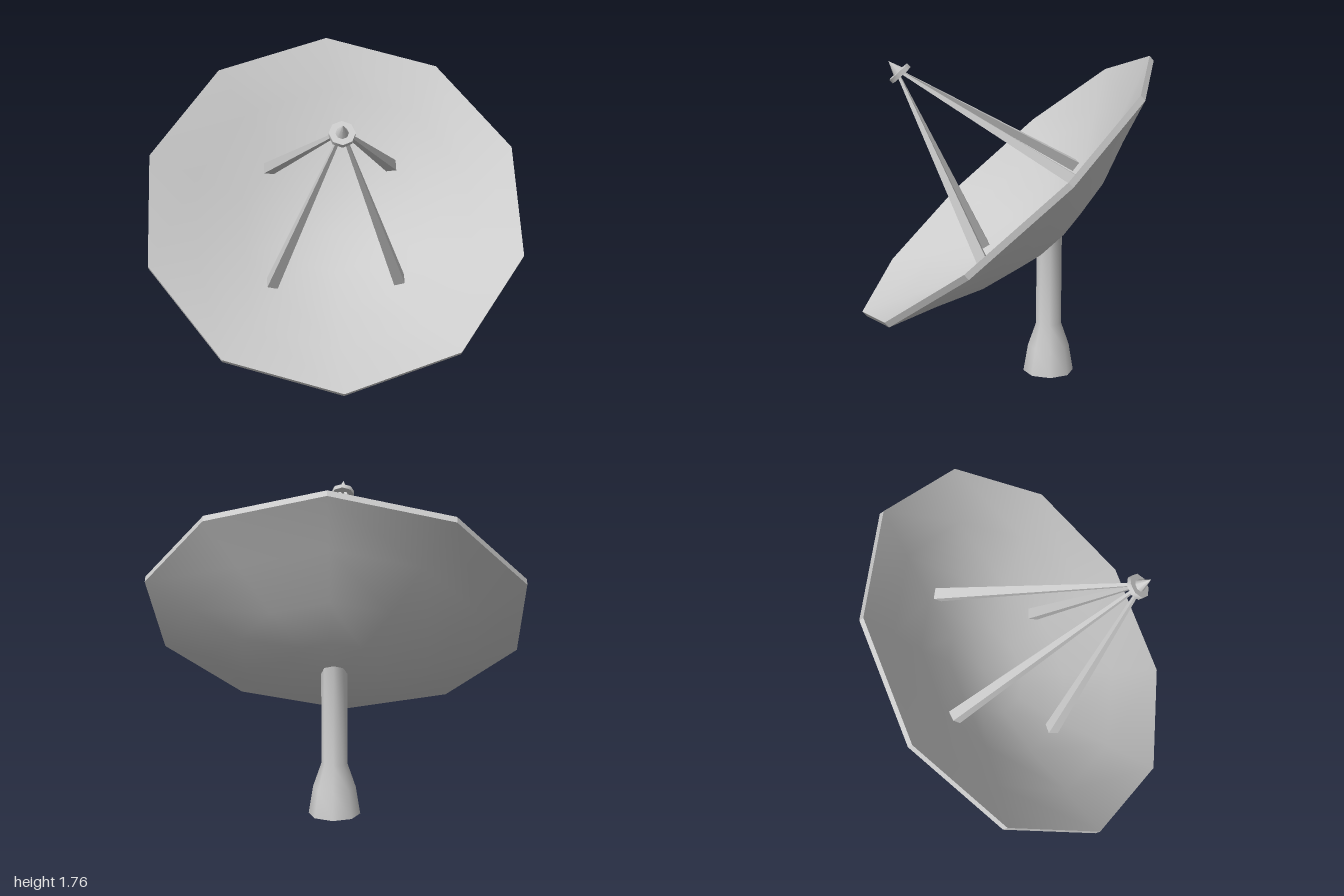
import * as THREE from 'three';
import { toCreasedNormals } from 'three/addons/utils/BufferGeometryUtils.js';

const material = new THREE.MeshStandardMaterial({ color: 0xcccccc });

function part(name, geometry, crease) {
  const mesh = new THREE.Mesh(toCreasedNormals(geometry, crease), material);
  mesh.name = name;
  return mesh;
}

const lathe = (points, sides) =>
  new THREE.LatheGeometry(points.map(([r, y]) => new THREE.Vector2(r, y)), sides);

export function createModel() {
  const model = new THREE.Group();
  model.name = 'dishAntenna';

  // Flared post, its top cut at the slope of the dish back
  const postZ = -0.24;
  const postGeometry = lathe(
    [[0, 0], [0.14, 0], [0.115, 0.15], [0.07, 0.28], [0.07, 0.775], [0, 0.775]], 8);
  const pos = postGeometry.attributes.position;
  for (let i = 0; i < pos.count; i++) {
    if (pos.getY(i) > 0.5) pos.setY(i, 0.775 - 0.7 * pos.getZ(i));
  }
  const post = part('post', postGeometry, 0.9);
  post.position.z = postZ;
  model.add(post);

  // Tilted reflector assembly, its own axis along local y
  const head = new THREE.Group();
  head.name = 'dishHead';
  head.position.set(0, 1.0625, 0.0125);
  head.rotation.x = THREE.MathUtils.degToRad(41.8);
  model.add(head);

  // Ten-sided bowl: back surface, rim, then front surface
  const thickness = 0.034;
  const back = [[0, -0.396], [0.265, -0.365], [0.52, -0.283], [0.787, -0.152], [1.0515, -thickness]];
  const front = back.map(([r, y]) => [r, y + thickness]).reverse();
  head.add(part('dish', lathe([...back, ...front], 10), 0.6));

  // Four tapered square struts meeting below the feed
  const up = new THREE.Vector3(0, 1, 0);
  for (const sx of [-1, 1]) {
    for (const sz of [-1, 1]) {
      const foot = new THREE.Vector3(sx * 0.35, -0.255, sz * 0.35);
      const tip = new THREE.Vector3(sx * 0.012, 0.82, sz * 0.012);
      const axis = tip.clone().sub(foot);
      const geometry = new THREE.CylinderGeometry(0.01, 0.042, axis.length(), 4);
      geometry.rotateY(Math.PI / 4);
      const strut = part('strut', geometry, 0.3);
      strut.position.copy(foot).add(tip).multiplyScalar(0.5);
      strut.quaternion.setFromUnitVectors(up, axis.normalize());
      head.add(strut);
    }
  }

  // Feed disc and pointed cap
  const disc = part('feedDisc', new THREE.CylinderGeometry(0.065, 0.065, 0.026, 8), 0.9);
  disc.position.y = 0.825;
  const cone = part('feedCone', new THREE.ConeGeometry(0.034, 0.08, 8), 0.9);
  cone.position.y = 0.874;
  head.add(disc, cone);

  return model;
}
